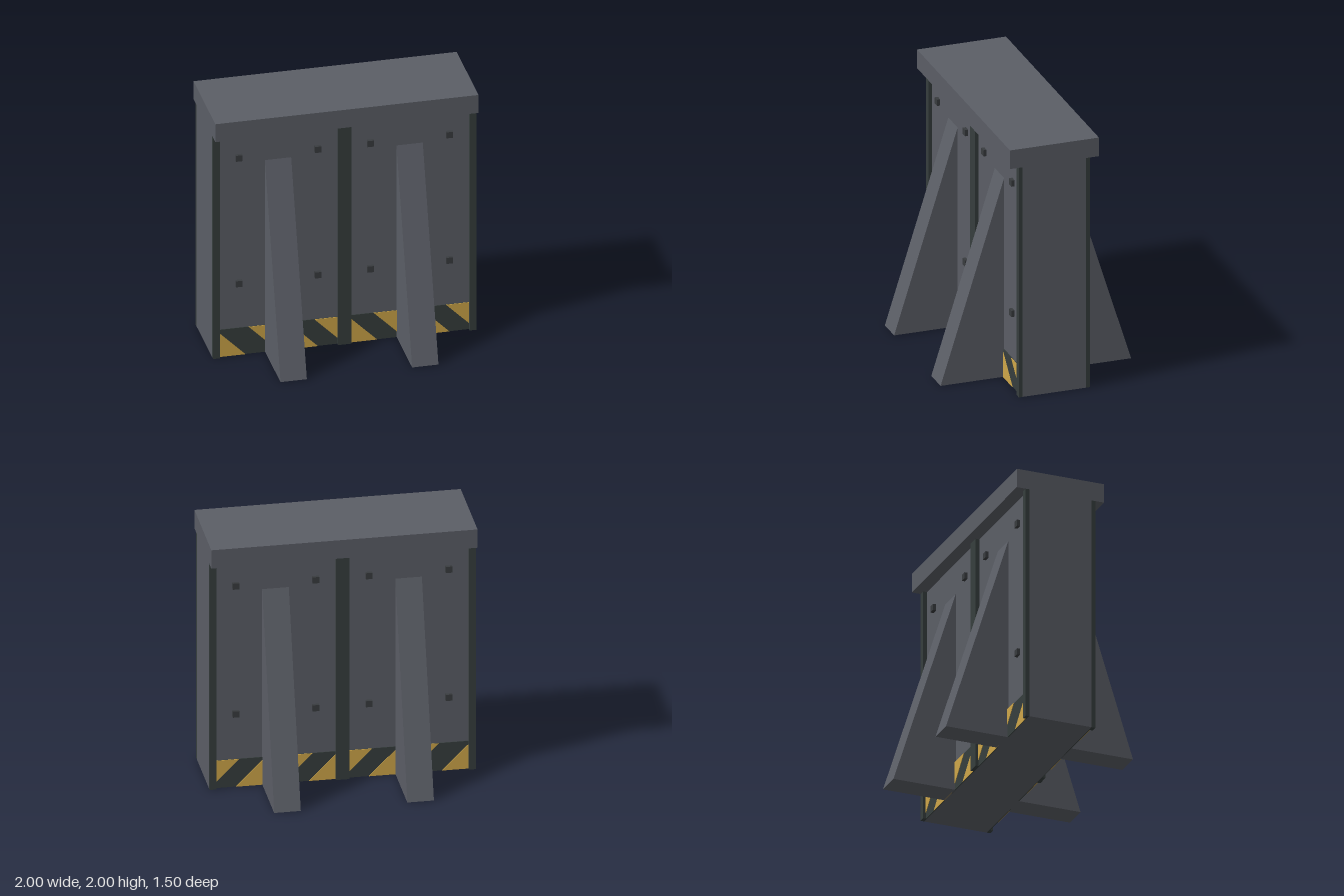
import * as THREE from 'three';

export function createModel() {
  const model = new THREE.Group();
  model.name = 'barrierWall';

  const mat = (name, color) => {
    const m = new THREE.MeshStandardMaterial({ color });
    m.name = name;
    return m;
  };
  const grey = mat('concrete grey', 0x5b5e66);
  const dark = mat('dark metal', 0x363e3d);
  const bolt = mat('bolt metal', 0x393c3f);
  const yellow = mat('hazard yellow', 0xcfa749);

  const add = (name, geometry, material, x = 0, y = 0, z = 0) => {
    const mesh = new THREE.Mesh(geometry, material);
    mesh.name = name;
    mesh.position.set(x, y, z);
    model.add(mesh);
    return mesh;
  };
  const box = (name, material, w, h, d, x, y, z) =>
    add(name, new THREE.BoxGeometry(w, h, d), material, x, y, z);
  const extrude = (points, depth) =>
    new THREE.ExtrudeGeometry(
      new THREE.Shape(points.map(([x, y]) => new THREE.Vector2(x, y))),
      { depth, bevelEnabled: false });

  // Wall core and overhanging cap
  box('wallCore', grey, 2, 1.85, 0.5, 0, 0.925, 0);
  box('cap', grey, 2, 0.15, 0.7, 0, 1.925, 0);

  const bandHeight = 0.225;
  // Each panel: left edge, and where its middle stripe begins and ends
  const panels = [
    { x0: -0.95, start: 0.45, end: 0.75 },
    { x0: 0.05, start: 0.4, end: 0.75 },
  ];

  for (const side of [1, -1]) {
    // Upright posts, standing proud of the wall face
    for (const [x, w] of [[-0.975, 0.05], [0, 0.1], [0.975, 0.05]])
      box('post', dark, w, 1.85, 0.03, x, 0.925, side * 0.265);

    // Bolts
    for (const x of [-0.8, -0.2, 0.2, 0.8])
      for (const y of [0.6, 1.65])
        box('bolt', bolt, 0.05, 0.05, 0.03, x, y, side * 0.26);

    // Sloping buttresses
    for (const x of [-0.5, 0.5]) {
      const wedge = extrude([[0.25, 0], [0.75, 0], [0.25, 1.6]], 0.2);
      wedge.translate(0, 0, -0.1).rotateY(-side * Math.PI / 2);
      add('buttress', wedge, grey, x);
    }

    // Hazard band with diagonal stripes, leaning the same way on both faces
    for (const { x0, start, end } of panels) {
      box('hazardBand', dark, 0.9, bandHeight, 0.006,
        x0 + 0.45, bandHeight / 2, side * 0.253);
      const h = bandHeight;
      const stripes = [
        [[0, 0], [0.2, 0], [0, 0.2]],
        [[start, 0], [end, 0], [end - h, h], [start - h, h]],
        [[0.9, 0.05], [0.9, h], [0.95 - h, h]],
      ];
      for (const points of stripes)
        add('hazardStripe', extrude(points, 0.004), yellow,
          x0, 0, side * 0.258 - 0.002);
    }
  }
  return model;
}
